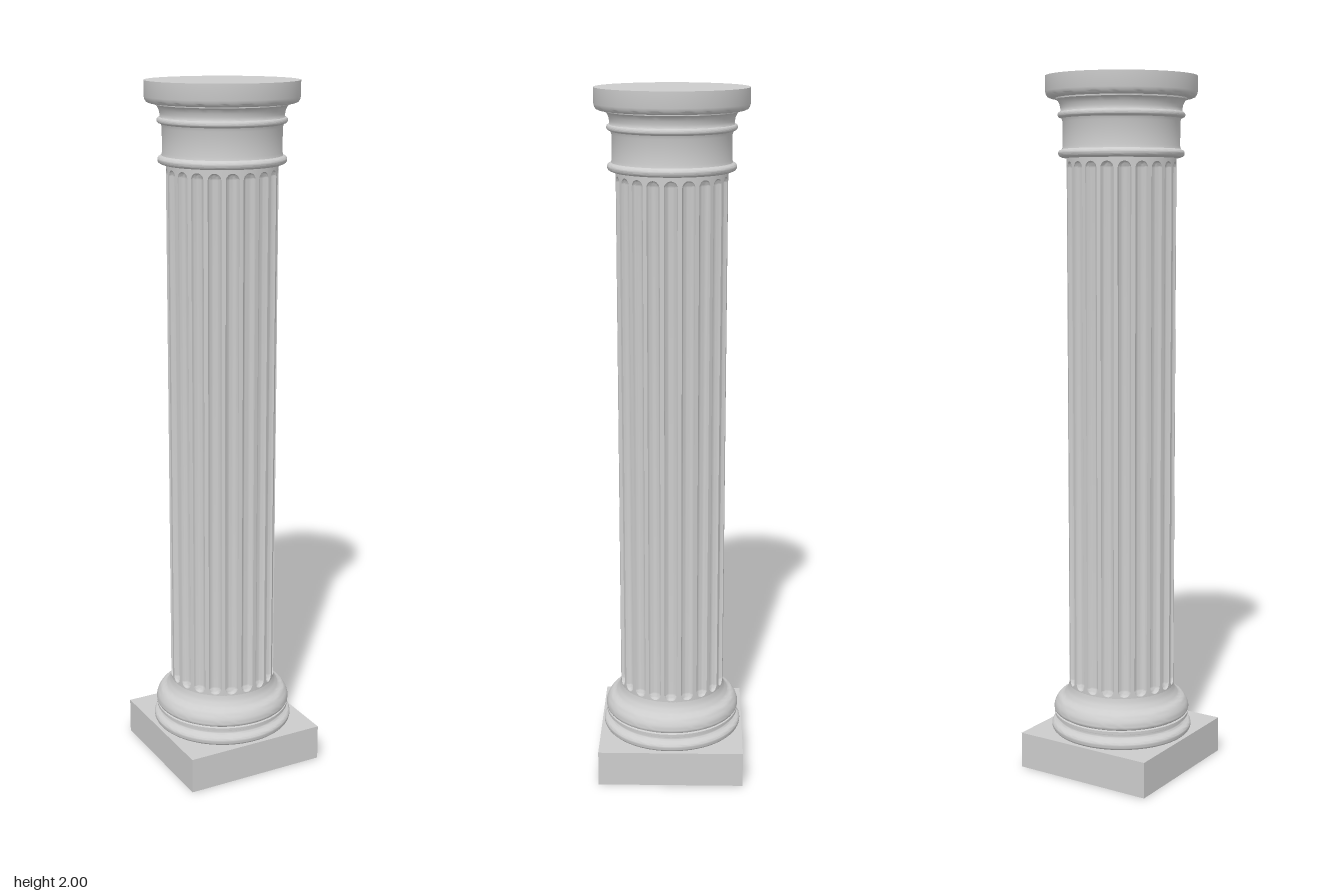
import * as THREE from 'three';
import { toCreasedNormals } from 'three/addons/utils/BufferGeometryUtils.js';

const RADIUS = 0.155;

// Points of a rounded bead (convex) or cove (concave) from one point up to another
function curve(r0, y0, r1, y1, bulge, n = 8) {
  const pts = [];
  for (let i = 0; i <= n; i++) {
    const t = i / n;
    const s = (1 - Math.cos(Math.PI * t)) / 2;
    pts.push([r0 + (r1 - r0) * s + bulge * Math.sin(Math.PI * t), y0 + (y1 - y0) * s]);
  }
  return pts;
}

function turned(name, profile, material) {
  const points = profile.map(([r, y]) => new THREE.Vector2(r, y));
  const geometry = toCreasedNormals(new THREE.LatheGeometry(points, 80), 0.6);
  const mesh = new THREE.Mesh(geometry, material);
  mesh.name = name;
  return mesh;
}

// Cylinder with round-ended flutes; the rows bend around each flute end
function flutedShaft(bottom, top, fluteBottom, fluteTop) {
  const FLUTES = 20, STEPS = 10, END = 6;
  const pitch = (Math.PI * 2) / FLUTES;
  const half = pitch * 0.38;
  const width = half * RADIUS;
  const depth = 0.014;

  // Each row: straight height, share of the round end, and carved share
  const rows = [{ y: bottom, k: 0, d: 0 }];
  for (let i = 0; i <= END; i++) {
    const a = (i / END) * Math.PI / 2;
    rows.push({ y: fluteBottom + width, k: -Math.cos(a), d: Math.sin(a) });
  }
  for (let i = END; i >= 0; i--) {
    const a = (i / END) * Math.PI / 2;
    rows.push({ y: fluteTop - width, k: Math.cos(a), d: Math.sin(a) });
  }
  rows.push({ y: top, k: 0, d: 0 });

  const positions = [], index = [];
  const perFlute = STEPS + 1, columns = FLUTES * perFlute;
  for (const { y, k, d } of rows) {
    for (let f = 0; f < FLUTES; f++) {
      for (let i = 0; i <= STEPS; i++) {
        const u = -Math.cos((i / STEPS) * Math.PI);
        const chord = Math.sqrt(Math.max(0, 1 - u * u));
        const angle = f * pitch + u * half;
        const r = RADIUS - depth * chord * d;
        positions.push(r * Math.sin(angle), y + k * width * chord, r * Math.cos(angle));
      }
    }
  }
  for (let j = 0; j < rows.length - 1; j++) {
    for (let i = 0; i < columns; i++) {
      const n = (i + 1) % columns;
      const a = j * columns + i, b = j * columns + n;
      const c = a + columns, e = b + columns;
      index.push(a, b, e, a, e, c);
    }
  }
  // Leave out the collapsed triangles at the flute corners
  const kept = [];
  const p = [0, 1, 2].map(() => new THREE.Vector3());
  for (let t = 0; t < index.length; t += 3) {
    const tri = index.slice(t, t + 3);
    tri.forEach((v, i) => p[i].fromArray(positions, v * 3));
    if (new THREE.Triangle(...p).getArea() > 1e-9) kept.push(...tri);
  }
  const geometry = new THREE.BufferGeometry();
  geometry.setAttribute('position', new THREE.Float32BufferAttribute(positions, 3));
  geometry.setIndex(kept);
  return toCreasedNormals(geometry, 0.6);
}

export function createModel() {
  const group = new THREE.Group();
  group.name = 'column';
  const stone = new THREE.MeshStandardMaterial({ color: 0xcccccc });
  stone.name = 'stone';

  // Square plinth
  const plinth = new THREE.Mesh(new THREE.BoxGeometry(0.426, 0.105, 0.426), stone);
  plinth.name = 'plinth';
  plinth.position.y = 0.0525;
  group.add(plinth);

  // Moulded base: lower bead, cove, fillet, large bead, flare into the shaft
  group.add(turned('base', [
    ...curve(0.198, 0.105, 0.198, 0.13, 0.009),
    ...curve(0.194, 0.132, 0.19, 0.148, -0.005),
    [0.198, 0.15], [0.198, 0.158], [0.192, 0.16],
    ...curve(0.194, 0.162, 0.176, 0.207, 0.012, 10),
    [0.17, 0.21], [0.167, 0.215],
    [0.161, 0.222], [0.157, 0.232], [RADIUS, 0.242],
  ], stone));

  const shaft = new THREE.Mesh(flutedShaft(0.24, 1.785, 0.245, 1.765), stone);
  shaft.name = 'flutedShaft';
  group.add(shaft);

  // Capital: bead, neck, upper bead and cove
  group.add(turned('capital', [
    [RADIUS, 1.775], [0.166, 1.776],
    ...curve(0.17, 1.778, 0.17, 1.798, 0.008),
    [0.167, 1.8], [0.165, 1.808], [0.165, 1.875], [0.168, 1.884],
    ...curve(0.172, 1.886, 0.172, 1.902, 0.007),
    [0.171, 1.904], [0.171, 1.912], [0.173, 1.922], [0.178, 1.932],
    [0.184, 1.936], [0.184, 1.942],
  ], stone));

  // Round slab on top
  group.add(turned('abacus', [
    [0, 1.94], [0.2, 1.94], [0.207, 1.943], [0.211, 1.949], [0.213, 1.957],
    [0.213, 2], [0, 2],
  ], stone));

  return group;
}
